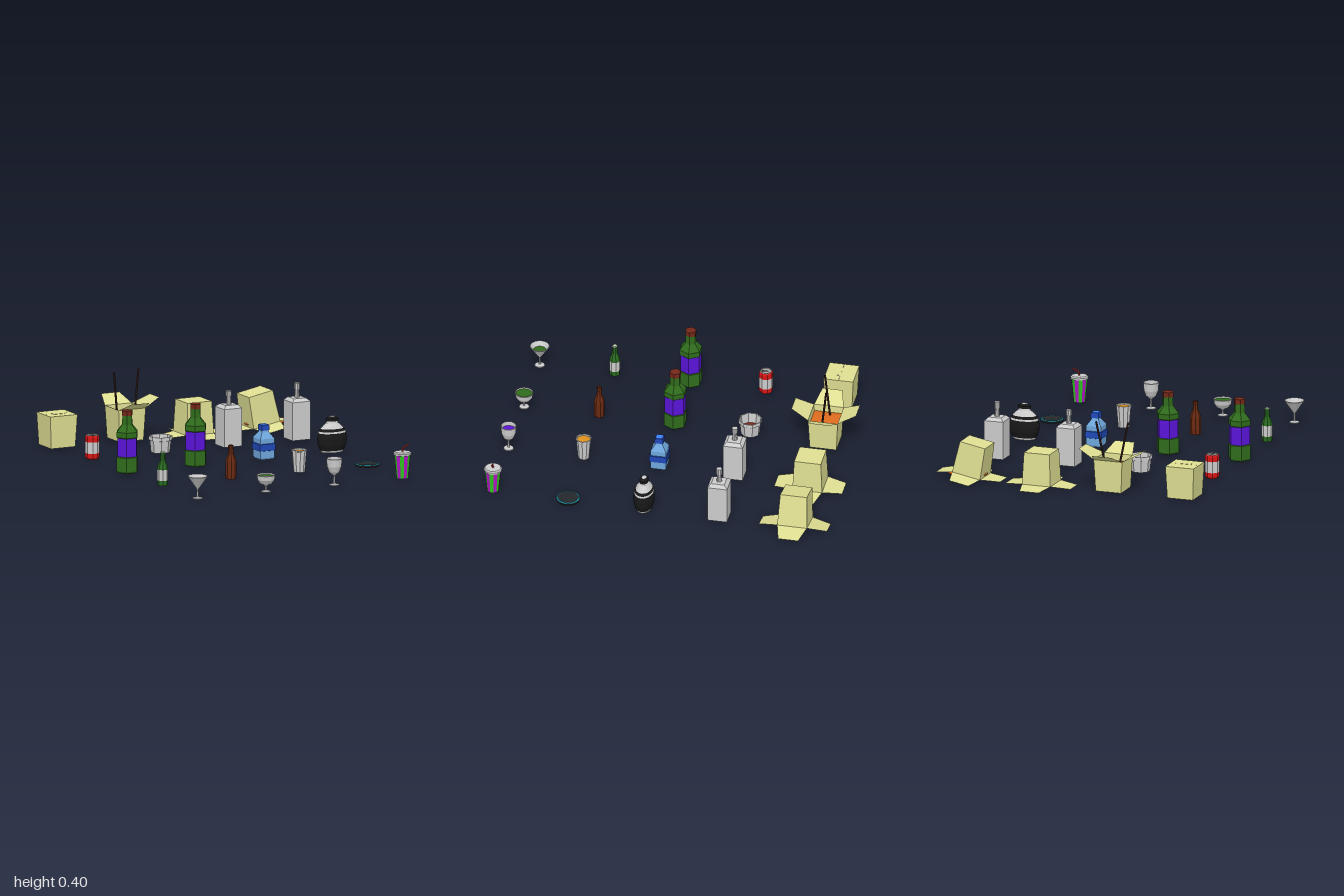
import * as THREE from 'three';

const GREY = 0xcccccc, CARD = 0xdede92, FOOD = 0xe06c1e, PURPLE = 0x5a14d8, GREEN = 0x2f6b1c;
const FLOOR = 0.012;
const COLS = [-0.695, -0.26, 0.175, 0.61];
const ROWS = [-0.812, -0.375, 0.06, 0.5, 0.935];

const paint = (color) => new THREE.MeshStandardMaterial({ color, flatShading: true, side: THREE.DoubleSide });

function add(parent, name, geometry, color) {
  const mesh = new THREE.Mesh(geometry, paint(color));
  mesh.name = name;
  parent.add(mesh);
  return mesh;
}

// Turned part from [radius, height] pairs; phi turns the facets
function turn(parent, name, profile, color, sides = 16, phi = Math.PI / sides) {
  const pts = profile.map(([r, y]) => new THREE.Vector2(r, y));
  return add(parent, name, new THREE.LatheGeometry(pts, sides, phi), color);
}

// Square-section part; r is the half width
function square(parent, name, profile, color) {
  return turn(parent, name, profile.map(([r, y]) => [r * Math.SQRT2, y]), color, 4);
}

// Straight round rod between two points
function rod(parent, name, a, b, r, color) {
  const path = new THREE.LineCurve3(new THREE.Vector3(...a), new THREE.Vector3(...b));
  return add(parent, name, new THREE.TubeGeometry(path, 1, r, 6), color);
}

// Takeaway carton; flaps = elevation of front, right, back, left flap
const TOP = 0.086, BASE = 0.077, TALL = 0.185;
function carton(g, flaps) {
  square(g, 'cartonWalls', [[0, 0], [BASE, 0], [TOP, TALL]], CARD);
  const flap = new THREE.Shape([[-TOP, 0], [TOP, 0], [0.058, 0.112], [-0.058, 0.112]].map((p) => new THREE.Vector2(...p)));
  flaps.forEach((angle, i) => {
    const hinge = new THREE.Group();
    hinge.rotation.y = i * Math.PI / 2;
    g.add(hinge);
    const mesh = add(hinge, 'cartonFlap', new THREE.ShapeGeometry(flap), CARD);
    mesh.position.set(0, TALL, TOP);
    mesh.rotation.x = Math.PI / 2 - angle;
  });
}

function closedCarton(g) {
  carton(g, []);
  for (const s of [-1, 1]) {
    add(g, 'lidPanel', new THREE.BoxGeometry(TOP * 2, 0.003, TOP - 0.001), CARD)
      .position.set(0, TALL, s * TOP / 2);
  }
  add(g, 'lidTab', new THREE.BoxGeometry(0.07, 0.002, 0.03), CARD).position.set(0, TALL + 0.002, 0.014);
}

function openCarton(g) {
  carton(g, [0.45, 0.45, 0.45, 0.45]);
  square(g, 'noodles', [[0.083, 0.145], [0.05, 0.152], [0, 0.155]], FOOD);
  rod(g, 'leftChopstick', [-0.04, 0.12, -0.02], [-0.083, 0.392, 0.022], 0.006, 0x3a2622);
  rod(g, 'rightChopstick', [0.05, 0.12, 0.014], [0.095, 0.392, -0.022], 0.006, 0x3a2622);
}

function invertedCarton(g) {
  const box = new THREE.Group();
  carton(box, [0.1, 0.1, 0.1, 0.1]);
  box.rotation.x = Math.PI;
  box.position.y = TALL;
  g.add(box);
}

function spilledCarton(g) {
  const box = new THREE.Group();
  carton(box, [0.15, 0.35, 0.15, -0.12]);
  box.rotation.set(Math.PI, 0, 0.19, 'ZYX');
  box.position.set(-0.045, 0.198, 0);
  g.add(box);
  const mound = add(g, 'spilledNoodles', new THREE.SphereGeometry(1, 14, 8), FOOD);
  mound.scale.set(0.122, 0.017, 0.085);
  mound.position.set(0.015, 0.015, 0);
}

function can(g) {
  turn(g, 'canBase', [[0, 0], [0.034, 0], [0.041, 0.012], [0.041, 0.035]], 0xd81616, 8);
  turn(g, 'canLabel', [[0.041, 0.035], [0.041, 0.1]], GREY, 8);
  turn(g, 'canShoulder', [[0.041, 0.1], [0.041, 0.126], [0.036, 0.137]], 0xd81616, 8);
  turn(g, 'canLid', [[0.036, 0.137], [0.033, 0.14], [0.031, 0.135], [0, 0.135]], 0xaaaaaa, 8);
  add(g, 'canOpening', new THREE.BoxGeometry(0.014, 0.002, 0.014), 0x333333).position.set(0, 0.136, 0.016);
  add(g, 'pullTab', new THREE.BoxGeometry(0.009, 0.003, 0.022), 0x777777).position.set(0, 0.138, -0.004);
}

function soupBowl(g) {
  turn(g, 'bowl', [[0, 0], [0.054, 0], [0.061, 0.07], [0.068, 0.072], [0.068, 0.093],
    [0.062, 0.093], [0.054, 0.012], [0, 0.012]], GREY, 8);
  turn(g, 'soup', [[0.057, 0.034], [0, 0.034]], 0x7c2a18, 8);
}

function squareBottle(g, top) {
  square(g, 'bottleBody', [[0, 0], [0.057, 0], [0.057, 0.22], [0.038, 0.238], [0, 0.238]], GREY);
  turn(g, 'bottleNeck', [[0.015, 0.236], [0.012, 0.285], [0.017, 0.285], [0.017, top], [0, top]], GREY, 10);
}

function hexBottle(g) {
  const hex = (name, p, c) => turn(g, name, p, c, 6, Math.PI / 2);
  hex('bottleBase', [[0, 0], [0.06, 0], [0.067, 0.01], [0.067, 0.09], [0.063, 0.094]], GREEN);
  hex('bottleLabel', [[0.063, 0.094], [0.063, 0.2]], PURPLE);
  hex('bottleShoulder', [[0.063, 0.2], [0.067, 0.204], [0.067, 0.235], [0.033, 0.275], [0.031, 0.328]], GREEN);
  hex('bottleCap', [[0.033, 0.328], [0.033, 0.356], [0, 0.356]], 0x74281a);
}

function blueBottle(g) {
  square(g, 'flaskBody', [[0, 0], [0.04, 0], [0.045, 0.01], [0.045, 0.12], [0.022, 0.155], [0.019, 0.172]], 0x6ea6dc);
  square(g, 'flaskBand', [[0.045, 0.05], [0.05, 0.052], [0.05, 0.09], [0.045, 0.092]], 0x2048b8);
  square(g, 'flaskCap', [[0.019, 0.165], [0.025, 0.165], [0.023, 0.196], [0.017, 0.199]], 0x2048b8);
  square(g, 'flaskCapTop', [[0.017, 0.199], [0, 0.199]], 0x3c86f0);
}

function roundFlagon(g) {
  const bands = [
    ['flagonFoot', GREY, [[0, 0], [0.066, 0], [0.072, 0.012]]],
    ['flagonBody', 0x181818, [[0.072, 0.012], [0.087, 0.045], [0.09, 0.08], [0.084, 0.112]]],
    ['flagonBand', GREY, [[0.084, 0.112], [0.08, 0.122]]],
    ['flagonShoulder', 0x181818, [[0.08, 0.122], [0.071, 0.137]]],
    ['flagonNeck', GREY, [[0.071, 0.137], [0.05, 0.157], [0.036, 0.168], [0.032, 0.18]]],
    ['flagonCap', 0x181818, [[0.038, 0.178], [0.038, 0.193], [0.02, 0.205]]],
    ['flagonCapTop', GREY, [[0.02, 0.205], [0, 0.208]]],
  ];
  for (const [name, color, profile] of bands) turn(g, name, profile, color, 18);
  g.scale.z = 0.66;
}

function beerBottle(g, color, labelColor, capColor) {
  turn(g, 'bottleBody', [[0, 0], [0.03, 0], [0.031, 0.03], [0.031, 0.1], [0.026, 0.118],
    [0.016, 0.142], [0.013, 0.18], [0.016, 0.18], [0.016, 0.188]], color, 8);
  turn(g, 'bottleTop', [[0.016, 0.188], [0.013, 0.193], [0, 0.193]], capColor, 8);
  if (labelColor) turn(g, 'bottleLabel', [[0.0315, 0.03], [0.0315, 0.092]], labelColor, 8);
}

function beerCup(g) {
  turn(g, 'cup', [[0, 0], [0.033, 0], [0.043, 0.12], [0.046, 0.121], [0.046, 0.128],
    [0.04, 0.128], [0.03, 0.01], [0, 0.01]], GREY, 10);
  turn(g, 'beer', [[0.04, 0.119], [0, 0.119]], 0xdd921c, 10);
}

function coaster(g) {
  turn(g, 'coasterDisc', [[0, -0.006], [0.066, -0.006], [0.068, 0.002], [0.063, 0.009], [0, 0.009]], 0x24282a, 24);
  turn(g, 'coasterRing', [[0.066, 0.0075], [0.062, 0.0105], [0.059, 0.0095]], 0x14a8c4, 24);
}

// Stemmed glass: bowl profile from stem to rim, plus drink level
function glass(g, bowl, drink, color) {
  const [bottomR, bottomY] = bowl[0];
  const inner = bowl.map(([r, y]) => [Math.max(r - 0.003, 0), y + 0.003]).reverse();
  turn(g, 'glassFoot', [[0, 0], [0.03, 0], [0.028, 0.004], [0.006, 0.009],
    [0.005, bottomY - 0.004], [bottomR, bottomY]], GREY);
  turn(g, 'glassBowl', [...bowl, ...inner, [0, bottomY + 0.003]], GREY);
  turn(g, 'drink', [drink, [0, drink[1]]], color);
}

function sodaCup(g) {
  // Striped wall made of sectors
  const n = 12, step = Math.PI * 2 / n, stripes = [0xb414c8, 0x2cc41e];
  for (let i = 0; i < n; i++) {
    const wall = new THREE.CylinderGeometry(0.047, 0.034, 0.138, 1, 1, true, (i - 0.5) * step, step);
    add(g, 'cupStripe', wall, stripes[i % 2]).position.y = 0.069;
  }
  turn(g, 'cupBottom', [[0, 0], [0.034, 0]], GREY, n);
  turn(g, 'cupLid', [[0.047, 0.134], [0.052, 0.136], [0.052, 0.146], [0.045, 0.153], [0, 0.153]], GREY, n);
  rod(g, 'straw', [0, 0.15, 0], [0.006, 0.178, 0], 0.005, 0xc83030);
  rod(g, 'strawTip', [0.005, 0.176, 0], [0.04, 0.19, 0], 0.005, 0xc83030);
}

export function createModel() {
  const root = new THREE.Group();
  root.name = 'foodAndDrinkSet';
  // Rows from back to front, columns from right to left of the model
  const layout = [
    [['closedCarton', closedCarton], ['openCarton', openCarton],
      ['invertedCarton', invertedCarton], ['spilledCarton', spilledCarton]],
    [['drinkCan', can], ['soupBowl', soupBowl],
      ['squareBottle', (g) => squareBottle(g, 0.315)], ['squareBottle', (g) => squareBottle(g, 0.322)]],
    [['hexBottle', hexBottle], ['hexBottle', hexBottle], ['blueFlask', blueBottle], ['roundFlagon', roundFlagon]],
    [['greenBottle', (g) => beerBottle(g, 0x2a6a22, GREY, 0xb8ccb0)],
      ['brownBottle', (g) => beerBottle(g, 0x6a2a12, null, 0x4a180c)], ['beerCup', beerCup], ['coaster', coaster]],
    [['cocktailGlass', (g) => glass(g, [[0.006, 0.055], [0.057, 0.128]], [0.038, 0.105], GREEN)],
      ['coupeGlass', (g) => glass(g, [[0.01, 0.036], [0.034, 0.048], [0.049, 0.07], [0.053, 0.096]], [0.049, 0.09], GREEN)],
      ['wineGlass', (g) => glass(g, [[0.01, 0.058], [0.03, 0.076], [0.042, 0.108], [0.045, 0.152]], [0.041, 0.128], PURPLE)],
      ['sodaCup', sodaCup]],
  ];
  layout.forEach((row, r) => row.forEach(([name, build], c) => {
    const g = new THREE.Group();
    g.name = name;
    build(g);
    g.position.set(COLS[c], FLOOR, ROWS[r]);
    root.add(g);
  }));
  return root;
}
